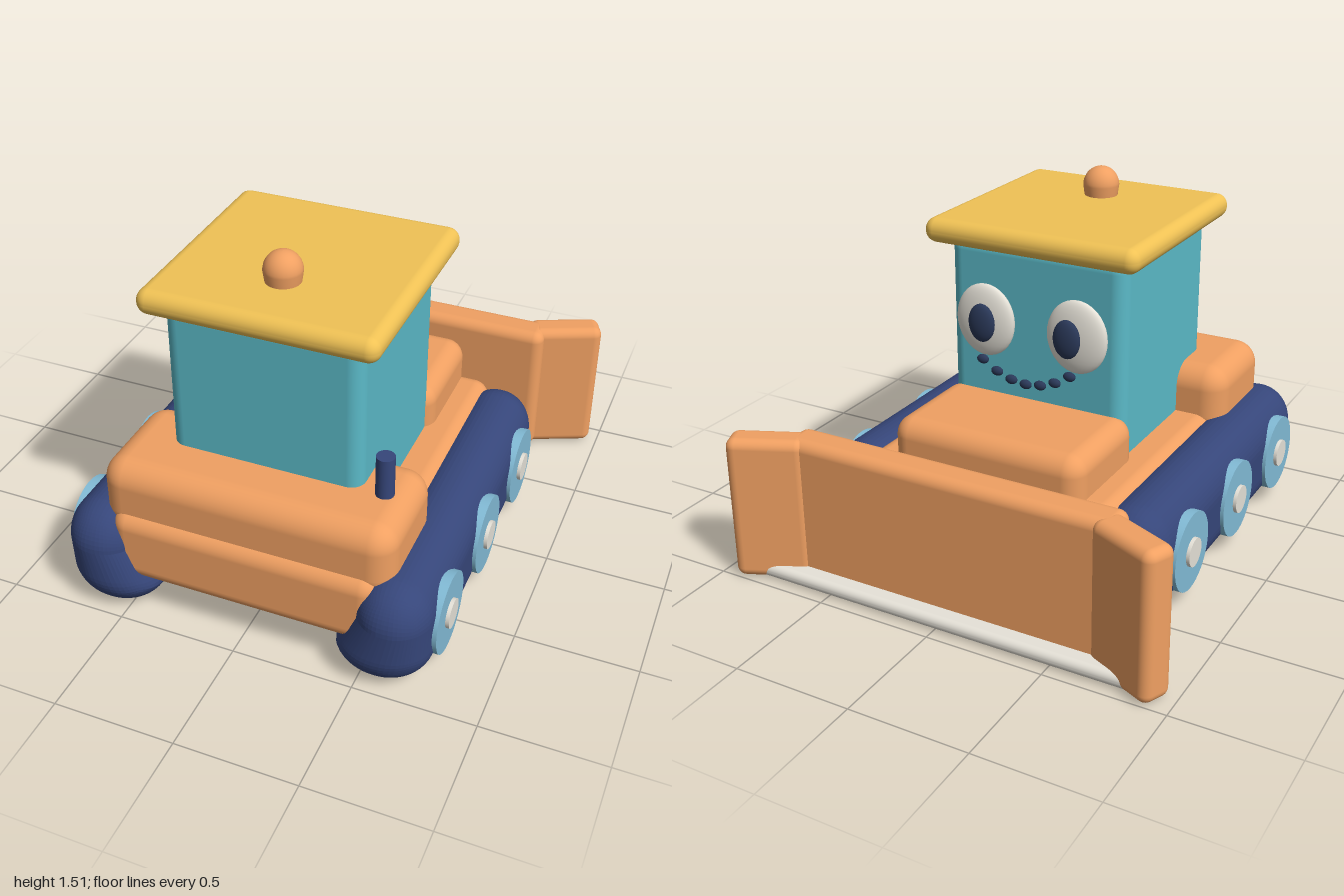
import * as THREE from 'three';
import { RoundedBoxGeometry } from 'three/addons/geometries/RoundedBoxGeometry.js';

const mat = (color) => new THREE.MeshStandardMaterial({ color });

export function createModel() {
  const model = new THREE.Group();
  const orange = mat(0xf0a062), teal = mat(0x5bbac8), yellow = mat(0xf0c255);
  const navy = mat(0x36467a), blue = mat(0x82bbd6), cream = mat(0xe6e2d8), dark = mat(0x2a3858);

  const add = (name, geometry, material, x = 0, y = 0, z = 0) => {
    const mesh = new THREE.Mesh(geometry, material);
    mesh.name = name;
    mesh.position.set(x, y, z);
    model.add(mesh);
    return mesh;
  };
  // Rounded box given by its extents on each axis
  const block = (name, material, [x0, x1], [y0, y1], [z0, z1], radius, segments = 5) =>
    add(name, new RoundedBoxGeometry(x1 - x0, y1 - y0, z1 - z0, segments, radius), material,
      (x0 + x1) / 2, (y0 + y1) / 2, (z0 + z1) / 2);
  const ellipsoid = (name, material, x, y, z, rx, ry, rz) =>
    add(name, new THREE.SphereGeometry(1, 28, 18).scale(rx, ry, rz), material, x, y, z);
  // Axle-wise cylinder along x
  const disc = (name, material, radius, length, x, y, z) =>
    add(name, new THREE.CylinderGeometry(radius, radius, length, 36).rotateZ(Math.PI / 2), material, x, y, z);

  // Body
  block('chassis', orange, [-0.56, 0.56], [0.165, 0.48], [-0.56, 0.935], 0.07);
  block('rearHousing', orange, [-0.61, 0.61], [0.37, 0.69], [0.41, 0.9], 0.1);
  block('hood', orange, [-0.43, 0.43], [0.38, 0.66], [-0.575, -0.07], 0.08);
  block('cab', teal, [-0.4, 0.4], [0.42, 1.32], [-0.14, 0.67], 0.06);
  block('roof', yellow, [-0.48, 0.48], [1.29, 1.395], [-0.22, 0.74], 0.05);

  // Beacon: short collar with a domed top
  const dome = [new THREE.Vector2(0.07, 0)];
  for (let i = 0; i <= 12; i++) {
    const a = (i / 12) * Math.PI / 2;
    dome.push(new THREE.Vector2(0.077 * Math.cos(a), 0.05 + 0.08 * Math.sin(a)));
  }
  add('beacon', new THREE.LatheGeometry(dome, 28), orange, 0, 1.388, 0.45);
  add('exhaust', new THREE.CylinderGeometry(0.037, 0.037, 0.3, 24), navy, 0.49, 0.715, 0.65);

  for (const side of [-1, 1]) {
    // Track: rounded block whose inner flank leans in towards the ground
    const geometry = new RoundedBoxGeometry(0.34, 0.465, 1.6, 8, 0.165);
    const p = geometry.attributes.position;
    for (let i = 0; i < p.count; i++) {
      const inner = 0.5 - side * p.getX(i) / 0.34;
      const lean = 0.06 * inner * Math.min(1, Math.max(-0.5, -p.getY(i) / 0.12));
      p.setX(i, p.getX(i) - side * lean);
    }
    geometry.computeVertexNormals();
    add('track', geometry, navy, side * 0.6, 0.2425, 0.2);

    // Wheels
    for (const z of [-0.29, 0.205, 0.7]) {
      disc('wheel', blue, 0.165, 0.41, side * 0.58, 0.237, z);
      disc('hub', cream, 0.06, 0.03, side * 0.785, 0.237, z);
    }

    // Blade arm and angled blade wing
    block('bladeArm', navy, [side * 0.55 - 0.05, side * 0.55 + 0.05], [0.175, 0.29], [-0.8, -0.45], 0.012, 2);
    const wing = add('bladeWing', new RoundedBoxGeometry(0.32, 0.62, 0.135, 5, 0.04), orange,
      side * 0.8, 0.322, -0.887);
    wing.rotation.y = side * 0.42;

    // Eye and pupil
    ellipsoid('eye', cream, side * 0.21, 0.99, -0.172, 0.135, 0.155, 0.04);
    ellipsoid('pupil', dark, side * 0.195 + 0.01, 0.99, -0.215, 0.06, 0.082, 0.027);
  }

  // Blade with its cutting edge
  block('blade', orange, [-0.73, 0.73], [0.012, 0.632], [-0.885, -0.73], 0.045);
  block('cuttingEdge', cream, [-0.91, 0.91], [0.015, 0.075], [-0.96, -0.86], 0.028);

  // Smile made of beads
  for (let i = -3; i <= 3; i++) {
    ellipsoid('smileBead', dark, 0.01 + i * 0.067, 0.752 + 0.0082 * i * i, -0.2, 0.027, 0.02, 0.016);
  }
  return model;
}
